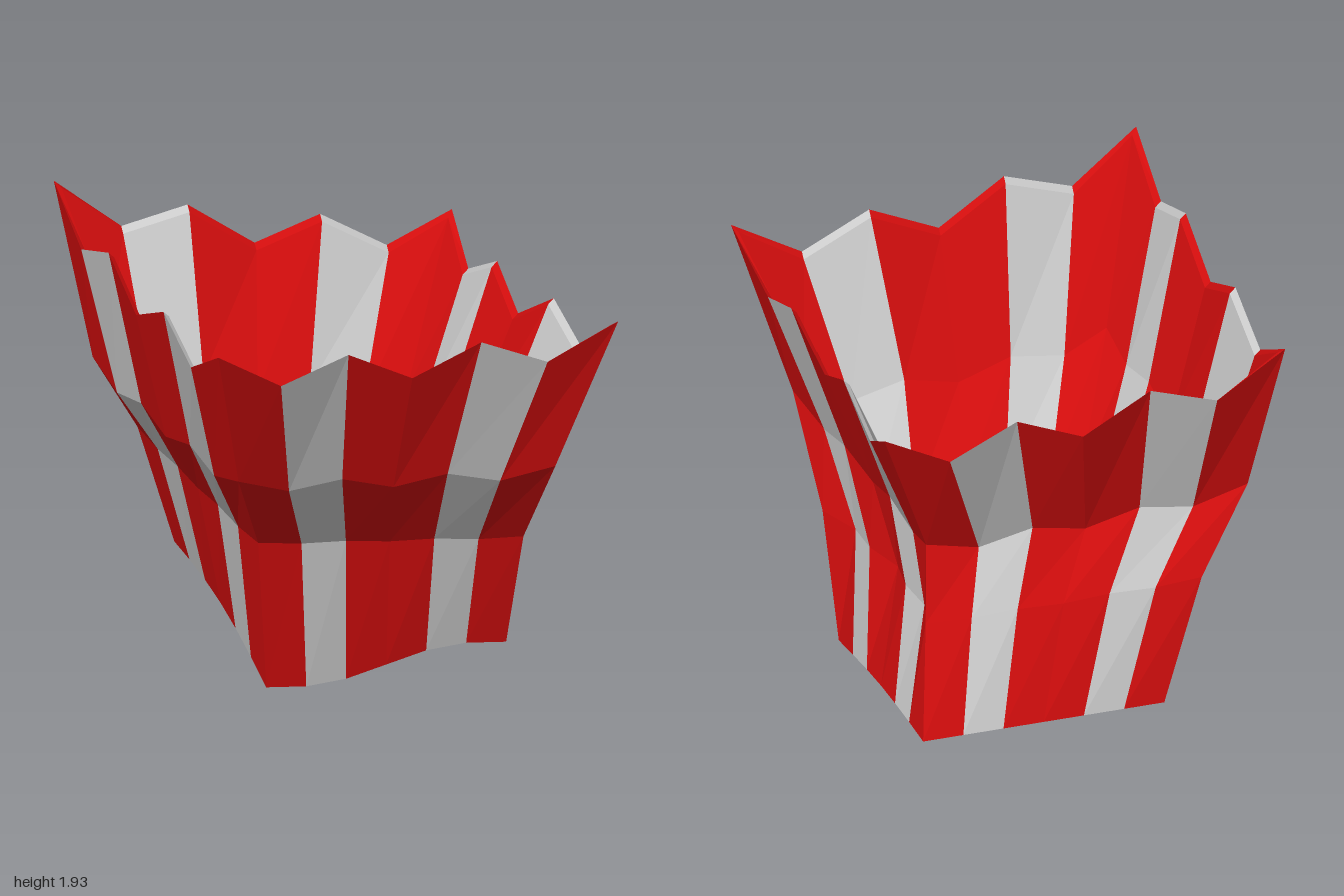
import * as THREE from 'three';

const N = 6; // panels per side
// Corners of each level: front right, front left, back left, back right
const LEVELS = [
  [[-0.4, 0, 0.225], [0.645, 0.08, 0.28], [0.6, 0.14, -0.78], [-0.43, 0.21, -0.87]],
  [[-0.48, 0.73, 0.352], [0.67, 0.625, 0.43], [0.54, 0.61, -0.62], [-0.6, 0.77, -0.85]],
  [[-0.68, 1.18, 0.68], [0.715, 1.06, 0.71], [0.51, 0.935, -0.53], [-0.82, 1.15, -0.79]],
  [[-0.88, 1.915, 1.0], [0.925, 1.78, 0.91], [0.77, 1.6, -0.78], [-0.92, 1.885, -1.0]],
];
const INWARD = [[0, -1], [-1, 0], [0, 1], [1, 0]]; // x, z for front, left, back, right
const DIP = [0, 0.18, 0.06, 0.21, 0.06, 0.18, 0];
const DENT = [0, 0.05, 0.04, 0.075, 0.045, 0.05, 0];
const DIP_SCALE = [0, 0.07, 0.38, 1];
// How far each side is pushed in, per level
const DENT_SCALE = [[0, 0, 0, 0], [0.2, 1.4, 0, 0], [0.6, 0.8, 0.3, 0], [1, 1, 0.3, 0]];
// Thickness of the card and height shift of the lining, per level
const THICK = [0.065, 0.05, 0.04, 0.025];
const LIFT = [0.06, 0, 0, -0.025];

// Curve of the bottom edge of each side
const bottomBow = [
  (t) => -0.035 * Math.sin(2 * Math.PI * t),
  (t) => 0.025 * Math.sin(Math.PI * t),
  () => 0,
  (t) => 0.055 * Math.sin(Math.PI * t),
];

// Closed loop of 24 points for one level; the lining is the same loop moved inward
function makeRing(level, inner) {
  const ring = [];
  const thick = inner ? THICK[level] : 0;
  for (let s = 0; s < 4; s++) {
    const a = new THREE.Vector3(...LEVELS[level][s]);
    const b = new THREE.Vector3(...LEVELS[level][(s + 1) % 4]);
    for (let i = 0; i < N; i++) {
      const t = i / N;
      const p = a.clone().lerp(b, t);
      const push = DENT[i] * DENT_SCALE[level][s] + thick;
      p.x += INWARD[s][0] * push;
      p.z += INWARD[s][1] * push;
      if (i === 0) { // corners move in from both sides
        const q = INWARD[(s + 3) % 4];
        p.x += q[0] * thick;
        p.z += q[1] * thick;
      }
      p.y -= DIP[i] * DIP_SCALE[level];
      if (level === 0) p.y += bottomBow[s](t);
      if (inner) p.y += LIFT[level];
      ring.push(p);
    }
  }
  return ring;
}

// Grid of points filling a ring, blended from its four edges
function fillRing(ring) {
  const at = (k) => ring[k % (4 * N)];
  const grid = [];
  for (let v = 0; v <= N; v++) {
    const row = [];
    for (let u = 0; u <= N; u++) {
      const s = u / N, t = v / N;
      const p = new THREE.Vector3()
        .addScaledVector(at(u), 1 - t).addScaledVector(at(3 * N - u), t)
        .addScaledVector(at(4 * N - v), 1 - s).addScaledVector(at(N + v), s)
        .addScaledVector(at(0), -(1 - s) * (1 - t)).addScaledVector(at(N), -s * (1 - t))
        .addScaledVector(at(2 * N), -s * t).addScaledVector(at(3 * N), -(1 - s) * t);
      row.push(p);
    }
    grid.push(row);
  }
  return grid;
}

const isStripe = (i) => i % 3 === 1;

// Collects quads into one red and one grey mesh
class Panels {
  constructor() { this.data = { Red: [], Stripe: [] }; }
  quad(grey, a, b, c, d) {
    const out = this.data[grey ? 'Stripe' : 'Red'];
    for (const p of [a, b, c, a, c, d]) out.push(p.x, p.y, p.z);
  }
  // Band between two loops
  band(lower, upper) {
    const n = lower.length;
    for (let i = 0; i < n; i++) {
      const j = (i + 1) % n;
      this.quad(isStripe(i), lower[i], lower[j], upper[j], upper[i]);
    }
  }
  build(name, materials) {
    const group = new THREE.Group();
    group.name = name;
    for (const key of ['Red', 'Stripe']) {
      if (!this.data[key].length) continue;
      const geo = new THREE.BufferGeometry();
      geo.setAttribute('position', new THREE.Float32BufferAttribute(this.data[key], 3));
      geo.computeVertexNormals();
      const mesh = new THREE.Mesh(geo, materials[key]);
      mesh.name = name + key;
      group.add(mesh);
    }
    return group;
  }
}

export function createModel() {
  const model = new THREE.Group();
  model.name = 'stripedBox';
  const materials = {
    Red: new THREE.MeshStandardMaterial({ color: 0xd20d0d, flatShading: true }),
    Stripe: new THREE.MeshStandardMaterial({ color: 0xcccccc, flatShading: true }),
  };
  const outer = LEVELS.map((_, k) => makeRing(k, false));
  const inner = LEVELS.map((_, k) => makeRing(k, true));

  // Outer walls and inner lining
  const walls = new Panels(), lining = new Panels();
  for (let k = 0; k < 3; k++) {
    walls.band(outer[k], outer[k + 1]);
    lining.band(inner[k + 1], inner[k]);
  }
  // Zigzag rim
  const rim = new Panels();
  rim.band(outer[3], inner[3]);

  // Underside with four grey squares, and the plain grey floor inside
  const underside = new Panels(), floor = new Panels();
  const under = fillRing(outer[0]), top = fillRing(inner[0]);
  for (let v = 0; v < N; v++) {
    for (let u = 0; u < N; u++) {
      underside.quad(isStripe(u) && isStripe(v),
        under[v][u], under[v + 1][u], under[v + 1][u + 1], under[v][u + 1]);
      floor.quad(true, top[v][u], top[v][u + 1], top[v + 1][u + 1], top[v + 1][u]);
    }
  }

  model.add(
    walls.build('walls', materials),
    lining.build('lining', materials),
    rim.build('rim', materials),
    underside.build('underside', materials),
    floor.build('floor', materials),
  );
  return model;
}
